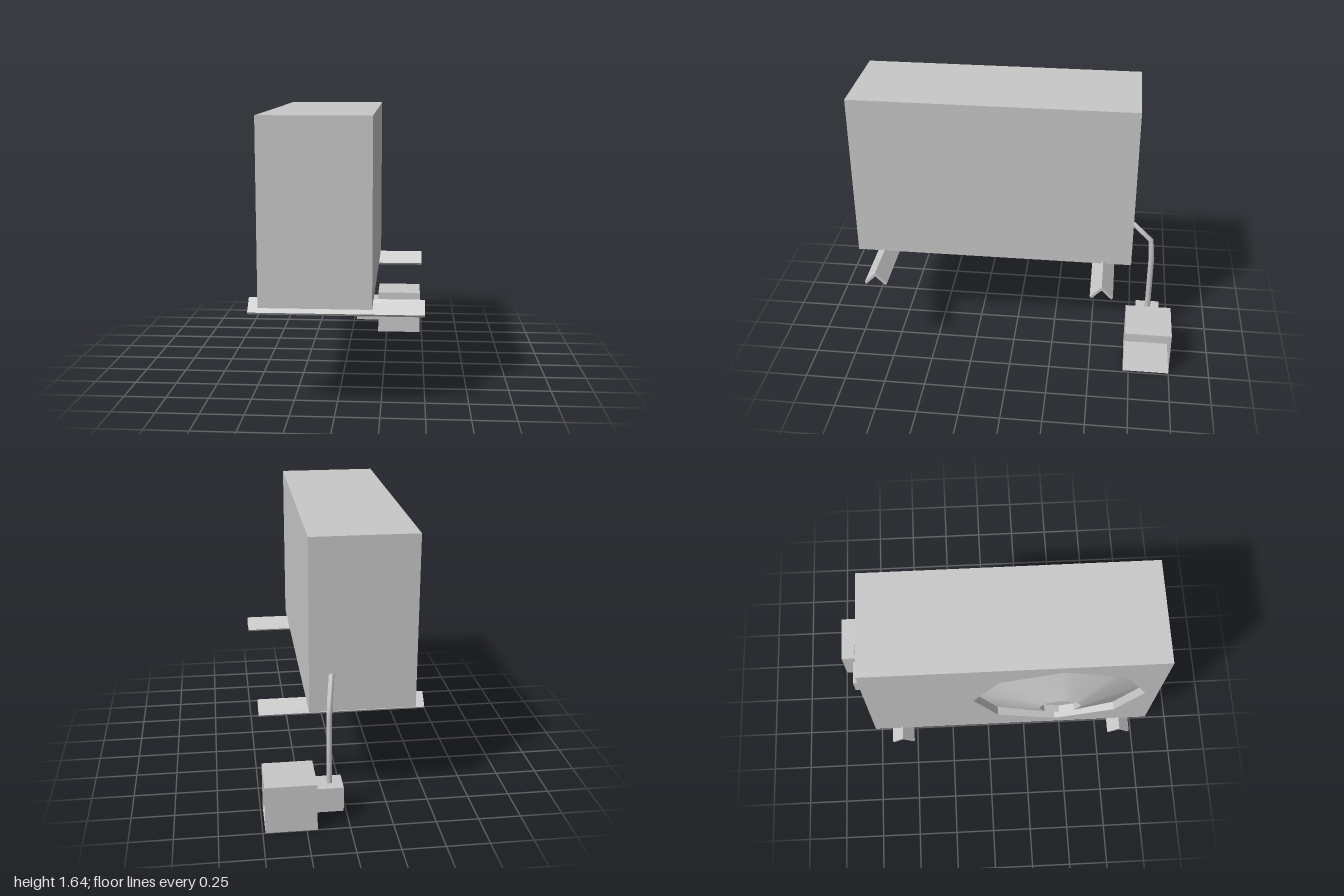
import * as THREE from 'three';
import { toCreasedNormals } from 'three/addons/utils/BufferGeometryUtils.js';

export function createModel() {
  const group = new THREE.Group();
  const grey = new THREE.MeshStandardMaterial({ color: 0xc8c8c8, side: THREE.DoubleSide });
  grey.name = 'light grey';

  const add = (name, geometry) => {
    const mesh = new THREE.Mesh(geometry, grey);
    mesh.name = name;
    group.add(mesh);
    return mesh;
  };
  // box given by its minimum and maximum corners
  const box = (a, b) => new THREE.BoxGeometry(b[0] - a[0], b[1] - a[1], b[2] - a[2])
    .translate((a[0] + b[0]) / 2, (a[1] + b[1]) / 2, (a[2] + b[2]) / 2);

  // cabinet, with a separate panel that holds the fan opening
  const bottom = 0.61, top = 1.645, back = -0.73, front = 1;
  const panelX = -0.415, recessX = -0.365;
  add('cabinet', box([recessX, bottom, back], [0.205, top, front]));

  const fanY = 1.125, fanZ = 0.412, radiusZ = 0.51, radiusY = 0.447;
  const panel = new THREE.Shape([
    new THREE.Vector2(back, bottom), new THREE.Vector2(front, bottom),
    new THREE.Vector2(front, top), new THREE.Vector2(back, top),
  ]);
  const opening = [];
  for (let i = 0; i < 8; i++) {
    const a = -i * Math.PI / 4;
    opening.push(new THREE.Vector2(fanZ + radiusZ * Math.cos(a), fanY + radiusY * Math.sin(a)));
  }
  panel.holes.push(new THREE.Path(opening));
  add('fanPanel', new THREE.ExtrudeGeometry(panel, { depth: recessX - panelX, bevelEnabled: false })
    .rotateY(-Math.PI / 2).translate(recessX, 0, 0));

  // octagonal fan cone with a sunken hub
  const profile = [[radiusZ, 0], [0.125, 0.11], [0.125, 0.07], [0, 0.07]]
    .map(([r, h]) => new THREE.Vector2(r, h));
  const fan = new THREE.LatheGeometry(profile, 8)
    .rotateZ(Math.PI / 2)
    .scale(1, radiusY / radiusZ, 1)
    .translate(recessX, fanY, fanZ);
  add('fanCone', toCreasedNormals(fan, 0.5));

  // angle-iron support rails
  const angle = new THREE.Shape([
    [0, 0.627], [-0.07, 0.556], [-0.06, 0.543], [0, 0.604], [0.06, 0.543], [0.07, 0.556],
  ].map(([z, y]) => new THREE.Vector2(z, y)));
  for (const [name, z] of [['frontRail', 0.827], ['backRail', -0.557]]) {
    add(name, new THREE.ExtrudeGeometry(angle, { depth: 0.98, bevelEnabled: false })
      .rotateY(-Math.PI / 2).translate(0.49, 0, z));
  }

  // large junction box, open on its +x side
  const large = box([0.188, 0, -1], [0.485, 0.29, -0.715]);
  large.setIndex(Array.from(large.index.array).slice(6));
  large.clearGroups();
  add('junctionBox', large);
  add('smallBox', box([0.03, 0.07, -0.93], [0.188, 0.222, -0.782]));

  // bent pipe with one ring at each bend
  const points = [
    [0.075, 0.83, -0.71], [0.077, 0.83, -0.735], [0.1, 0.737, -0.845],
    [0.105, 0.61, -0.857], [0.105, 0.2, -0.857],
  ].map(p => new THREE.Vector3(...p));
  const last = points.length - 1;
  const path = new THREE.Curve();
  path.getPoint = path.getPointAt = u => points[Math.round(u * last)].clone();
  path.getTangentAt = u => {
    const i = Math.round(u * last), t = new THREE.Vector3();
    if (i > 0) t.add(points[i].clone().sub(points[i - 1]).normalize());
    if (i < last) t.add(points[i + 1].clone().sub(points[i]).normalize());
    return t.normalize();
  };
  add('pipe', new THREE.TubeGeometry(path, last, 0.018, 6));

  return group;
}
